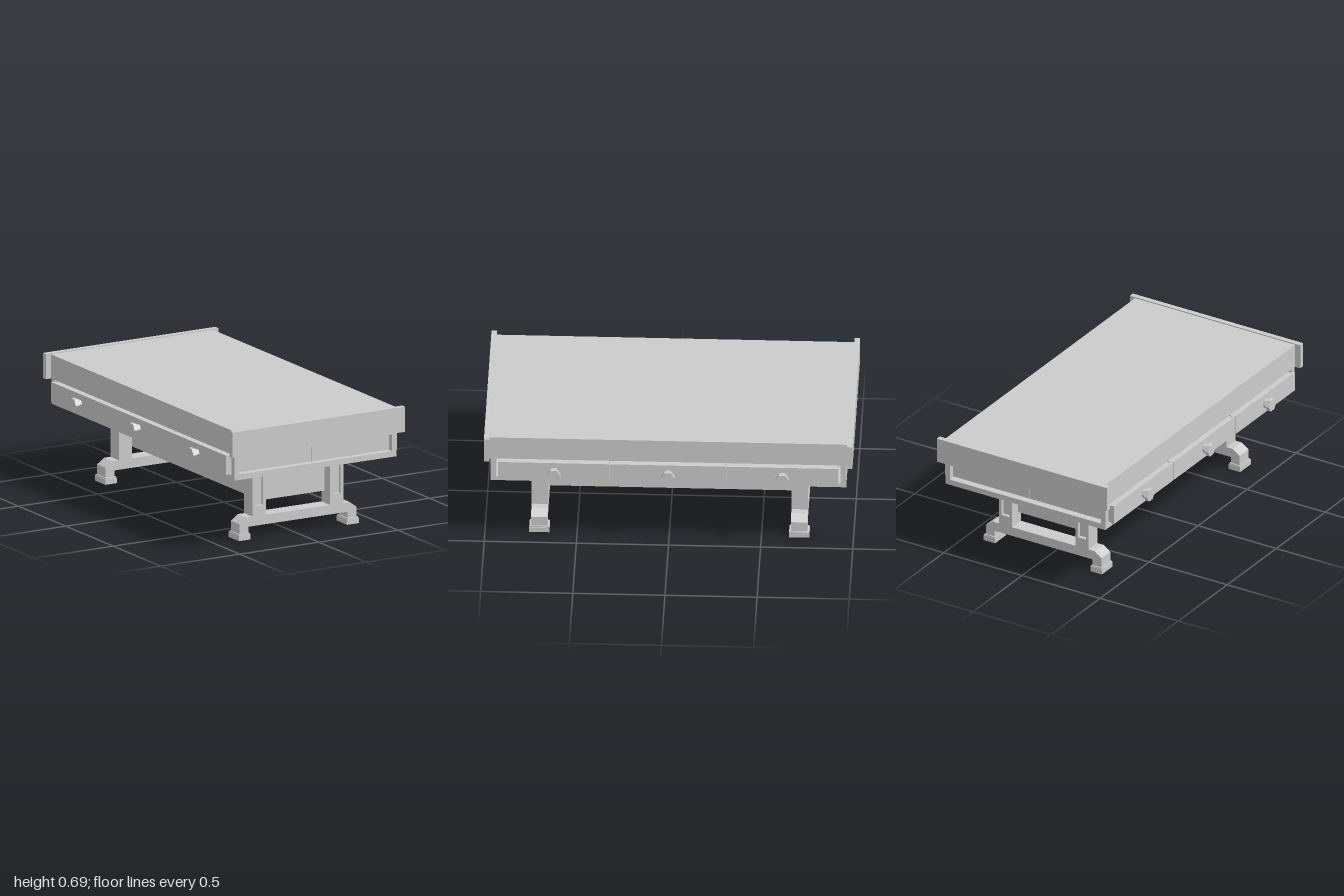
import * as THREE from 'three';

const material = new THREE.MeshStandardMaterial({ color: 0xcccccc, flatShading: true });

function addMesh(parent, name, geometry) {
  const mesh = new THREE.Mesh(geometry, material);
  mesh.name = name;
  parent.add(mesh);
  return mesh;
}

// box given by its min and max on each axis
function addBox(parent, name, [x0, x1], [y0, y1], [z0, z1]) {
  const mesh = addMesh(parent, name, new THREE.BoxGeometry(x1 - x0, y1 - y0, z1 - z0));
  mesh.position.set((x0 + x1) / 2, (y0 + y1) / 2, (z0 + z1) / 2);
  return mesh;
}

const polygon = (points) => points.map(([x, y]) => new THREE.Vector2(x, y));
const rectangle = (x, y0, y1) => polygon([[-x, y0], [x, y0], [x, y1], [-x, y1]]);

function extrude(shape, depth) {
  return new THREE.ExtrudeGeometry(shape, { depth, bevelEnabled: false });
}

// one drawer opening towards +x, with a hexagonal knob
function makeDrawer(z, width) {
  const drawer = new THREE.Group();
  drawer.name = 'drawer';
  const half = width / 2;
  addBox(drawer, 'drawerBox', [0.002, 0.526], [0.434, 0.534], [-half + 0.004, half - 0.004]);
  addBox(drawer, 'drawerFace', [0.525, 0.54], [0.43, 0.54], [-half, half]);
  for (const [name, radius, x0, x1] of [['knobNeck', 0.025, 0.535, 0.568], ['knobHead', 0.037, 0.565, 0.587]]) {
    const geometry = new THREE.CylinderGeometry(radius, radius, x1 - x0, 6);
    geometry.rotateZ(-Math.PI / 2);
    addMesh(drawer, name, geometry).position.set((x0 + x1) / 2, 0.487, 0);
  }
  drawer.position.z = z;
  return drawer;
}

// trestle at the +z end: beam with angled arms, grooved columns and feet
function makeTrestle() {
  const trestle = new THREE.Group();
  trestle.name = 'trestle';
  const z0 = 0.66, z1 = 0.75;

  const arm = [[0.314, 0.07], [0.314, 0.034], [0.37, 0.034], [0.37, 0.092], [0.327, 0.123]];
  const mirrored = arm.map(([x, y]) => [-x, y]).reverse();
  const beam = extrude(new THREE.Shape(polygon([...arm, ...mirrored])), z1 - z0);
  addMesh(trestle, 'trestleBeam', beam).position.z = z0;

  for (const side of [-1, 1]) {
    const post = new THREE.Group();
    post.name = 'post';
    post.position.x = side * 0.245;
    const back = z1 - 0.02;
    addBox(post, 'column', [-0.042, 0.042], [0.12, 0.41], [z0, back]);
    // outer layer of the column with a groove open at the top
    const layer = new THREE.Shape(polygon([
      [-0.042, 0.12], [0.042, 0.12], [0.042, 0.41], [0.025, 0.41],
      [0.025, 0.18], [-0.025, 0.18], [-0.025, 0.41], [-0.042, 0.41],
    ]));
    addMesh(post, 'columnGroove', extrude(layer, z1 - back)).position.z = back;
    trestle.add(post);

    const foot = new THREE.Group();
    foot.name = 'foot';
    foot.position.x = side * 0.342;
    addBox(foot, 'footPad', [-0.037, 0.037], [0, 0.03], [0.65, 0.76]);
    addBox(foot, 'footCap', [-0.034, 0.034], [0.03, 0.036], [0.653, 0.757]);
    trestle.add(foot);
  }
  return trestle;
}

export function createModel() {
  const model = new THREE.Group();
  model.name = 'workTable';

  // table top with end boards
  addBox(model, 'tableTop', [-0.512, 0.512], [0.545, 0.68], [-0.97, 0.97]);
  for (const side of [-1, 1]) {
    addBox(model, 'endBoard', [-0.545, 0.545], [0.545, 0.686], [side * 0.985 - 0.015, side * 0.985 + 0.015]);
  }

  // drawer case: base and open end frames
  addBox(model, 'caseBase', [-0.512, 0.512], [0.405, 0.43], [-0.935, 0.935]);
  const frame = new THREE.Shape(rectangle(0.512, 0.405, 0.546));
  frame.holes.push(new THREE.Path(rectangle(0.483, 0.437, 0.53)));
  for (const z of [-0.965, 0.935]) {
    addMesh(model, 'caseEndFrame', extrude(frame, 0.03)).position.z = z;
  }

  // three drawers on each long side
  for (const turn of [0, Math.PI]) {
    const row = new THREE.Group();
    row.name = 'drawerRow';
    row.rotation.y = turn;
    for (const z of [-0.62, 0, 0.62]) row.add(makeDrawer(z, z ? 0.605 : 0.63));
    model.add(row);
  }

  // stand: two trestles joined by a stretcher frame
  const stand = new THREE.Group();
  stand.name = 'stand';
  stand.position.x = 0.018;
  for (const turn of [0, Math.PI]) {
    const trestle = makeTrestle();
    trestle.rotation.y = turn;
    stand.add(trestle);
  }
  for (const side of [-1, 1]) {
    const x = side * 0.191, z = side * 0.678;
    addBox(stand, 'longStretcher', [x - 0.013, x + 0.013], [0.19, 0.325], [-0.69, 0.69]);
    addBox(stand, 'crossStretcher', [-0.18, 0.18], [0.19, 0.325], [z - 0.012, z + 0.012]);
  }
  model.add(stand);
  return model;
}
